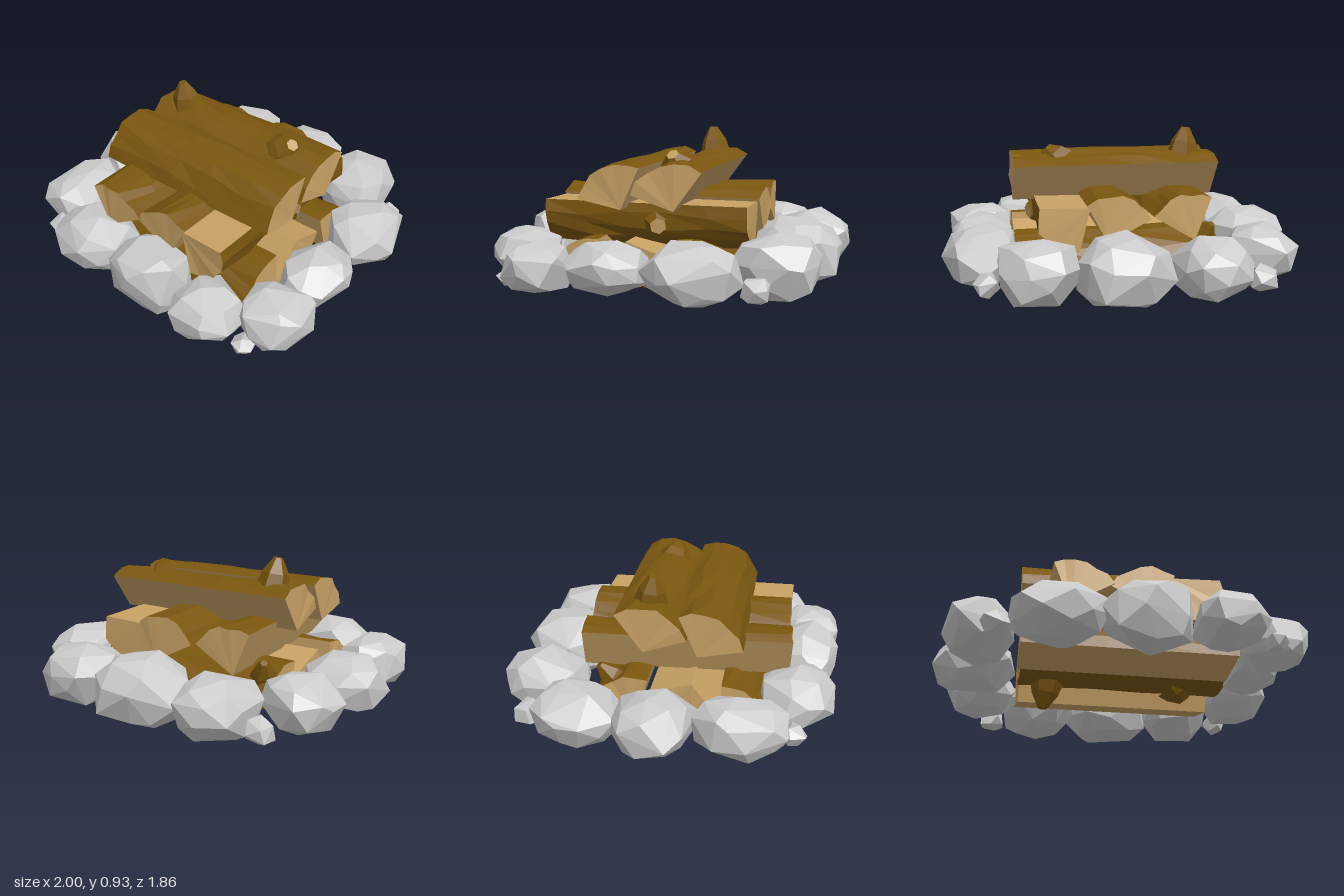
import * as THREE from 'three';
import { ConvexGeometry } from 'three/addons/geometries/ConvexGeometry.js';

const mat = (color) => new THREE.MeshStandardMaterial({ color, flatShading: true });
const bark = mat(0x7a560f), wood = mat(0xc8a265), rock = mat(0xcccccc);

function seeded(seed) {
  let s = seed * 7919 + 17;
  return () => (s = (s * 16807) % 2147483647) / 2147483647;
}

function mesh(name, geo, material) {
  const m = new THREE.Mesh(geo, material);
  m.name = name;
  return m;
}

function facets(tris) {
  const geo = new THREE.BufferGeometry().setFromPoints(tris);
  geo.computeVertexNormals();
  return geo;
}

// Split log: a wedge with two flat cut faces and a rounded bark side.
// apex and corners are [u, y]; u is x for logs along z, and z for logs along x.
function splitLog(name, axis, apex, cornerA, cornerB, from, to, seed, bulge = 0) {
  const rnd = seeded(seed), SIDES = 6, RINGS = 5;
  const flip = axis === 'x' ? -1 : 1;
  const P = ([u, y]) => new THREE.Vector2(u * flip, y);
  const o = P(apex);
  let a = P(cornerA).sub(o), b = P(cornerB).sub(o);
  if (a.cross(b) < 0) [a, b] = [b, a];
  const start = a.angle(), sweep = Math.acos(a.dot(b) / (a.length() * b.length()));

  const rings = [];
  for (let k = 0; k <= RINGS; k++) {
    const end = k === 0 || k === RINGS;
    const ring = [new THREE.Vector3(o.x, o.y, 0)];
    for (let i = 0; i <= SIDES; i++) {
      const t = i / SIDES, edge = i === 0 || i === SIDES;
      const ang = start + sweep * (t + (edge || end ? 0 : (rnd() - 0.5) * 0.09));
      const r = THREE.MathUtils.lerp(a.length(), b.length(), t) * (1 + bulge * Math.sin(Math.PI * t))
        * (1 + (rnd() - 0.55) * (edge ? 0.03 : 0.08));
      ring.push(new THREE.Vector3(o.x + r * Math.cos(ang), o.y + r * Math.sin(ang), 0));
    }
    for (const p of ring) p.z = from + (to - from) * (k / RINGS) + (rnd() - 0.5) * (end ? 0.012 : 0.08);
    rings.push(ring);
  }

  const barkTris = [], woodTris = [], n = SIDES + 2;
  for (let k = 0; k < RINGS; k++) {
    for (let i = 0; i < n; i++) {
      const j = (i + 1) % n, r0 = rings[k], r1 = rings[k + 1];
      const out = i === 0 || j === 0 ? woodTris : barkTris;
      out.push(r0[i], r0[j], r1[j], r0[i], r1[j], r1[i]);
    }
  }
  const first = rings[0], last = rings[RINGS];
  for (let i = 1; i < n - 1; i++) {
    woodTris.push(last[0], last[i], last[i + 1], first[0], first[i + 1], first[i]);
  }
  const log = new THREE.Group();
  log.name = name;
  log.add(mesh('bark', facets(barkTris), bark), mesh('cutWood', facets(woodTris), wood));
  if (axis === 'x') log.rotation.y = Math.PI / 2;
  return log;
}

// Branch stub: tapered, optionally sawn off to show pale wood.
function stub(name, from, to, r0, r1, sawn) {
  const a = new THREE.Vector3(...from), dir = new THREE.Vector3(...to).sub(a), h = dir.length();
  const g = new THREE.Group();
  g.name = name;
  const mid = r0 * 0.4 + r1 * 0.6 + 0.02;
  const lower = new THREE.CylinderGeometry(mid, r0, h / 2, 6, 1, true).translate(0, h / 4, 0);
  const upper = new THREE.CylinderGeometry(r1, mid, h / 2, 6, 1, true).translate(0, h * 0.75, 0);
  const cap = new THREE.CircleGeometry(r1, 6).rotateX(-Math.PI / 2).rotateY(Math.PI / 6).translate(0, h, 0);
  g.add(mesh('stubBase', lower, bark), mesh('stubTip', upper, bark), mesh('stubEnd', cap, sawn ? wood : bark));
  g.position.copy(a);
  g.quaternion.setFromUnitVectors(new THREE.Vector3(0, 1, 0), dir.normalize());
  return g;
}

// Stone: slightly boxy hull of scattered points, fitted to its extents.
function stone(name, [x0, x1], [y0, y1], [z0, z1], count, seed) {
  const rnd = seeded(seed), pts = [], turn = rnd() * 6;
  for (let i = 0; i < count; i++) {
    const y = 1 - (2 * (i + 0.5)) / count, ang = i * 2.39996 + turn + (rnd() - 0.5) * 0.8;
    const r = Math.sqrt(1 - y * y), s = 0.92 + rnd() * 0.16;
    pts.push(new THREE.Vector3(r * Math.cos(ang) * s, (y + (rnd() - 0.5) * 0.12) * s, r * Math.sin(ang) * s));
  }
  const tilt = new THREE.Euler(rnd() * 3, rnd() * 3, rnd() * 3);
  const square = (v) => Math.sign(v) * Math.abs(v) ** 0.87;
  for (const p of pts) {
    p.applyEuler(tilt);
    p.set(square(p.x), square(p.y), square(p.z));
  }
  const box = new THREE.Box3().setFromPoints(pts), size = box.getSize(new THREE.Vector3());
  const span = new THREE.Vector3(x1 - x0, y1 - y0, z1 - z0), low = new THREE.Vector3(x0, y0, z0);
  pts.forEach((p) => p.sub(box.min).divide(size).multiply(span).add(low));
  return mesh(name, new ConvexGeometry(pts), rock);
}

export function createModel() {
  const model = new THREE.Group();
  model.name = 'campfire';

  // Top layer: two logs across
  model.add(
    splitLog('topFrontLog', 'x', [0.17, 0.55], [0.41, 0.6], [0.07, 0.77], -0.54, 0.59, 1),
    splitLog('topBackLog', 'x', [-0.12, 0.555], [0.11, 0.63], [-0.27, 0.76], -0.53, 0.6, 2),
    stub('topSpike', [-0.37, 0.77, -0.1], [-0.39, 0.932, -0.08], 0.095, 0.025, false),
    stub('topKnot', [0.34, 0.75, -0.08], [0.41, 0.83, -0.06], 0.11, 0.035, true),
  );

  // Middle layer: three logs running front to back
  const middleRight = splitLog('middleRightLog', 'z', [-0.33, 0.37], [-0.1, 0.51], [-0.42, 0.6], -0.49, 0.64, 3);
  middleRight.rotation.y = 0.035;
  model.add(
    middleRight,
    splitLog('middleLog', 'z', [0.13, 0.38], [-0.1, 0.5], [0.24, 0.585], -0.5, 0.635, 4, 0.03),
    splitLog('middleLeftLog', 'z', [0.22, 0.57], [0.485, 0.575], [0.28, 0.33], -0.48, 0.64, 5, 0.14),
    stub('middleKnot', [0.4, 0.48, 0.03], [0.51, 0.46, -0.01], 0.09, 0.045, true),
  );

  // Bottom layer: the centre log lies bark down
  model.add(
    splitLog('bottomFrontLog', 'x', [0.29, 0.15], [0.57, 0.18], [0.3, 0.39], -0.54, 0.59, 6),
    splitLog('bottomCentreLog', 'x', [0.14, 0.385], [-0.09, 0.31], [0.29, 0.18], -0.53, 0.59, 7),
    splitLog('bottomBackLog', 'x', [-0.17, 0.14], [-0.42, 0.2], [-0.1, 0.38], -0.52, 0.6, 8),
    stub('bottomSpike', [-0.37, 0.17, 0.12], [-0.39, 0.006, 0.1], 0.095, 0.025, false),
    stub('bottomKnot', [0.34, 0.19, 0.1], [0.41, 0.11, 0.08], 0.11, 0.035, true),
    stub('backSpike', [-0.42, 0.3, -0.28], [-0.47, 0.43, -0.37], 0.085, 0.02, false),
  );

  // Ring of large stones: x, y and z extents
  const ring = [
    [[-0.6, -0.18], [0.12, 0.45], [-0.93, -0.45]],
    [[-0.18, 0.32], [0.1, 0.47], [-0.92, -0.46]],
    [[0.31, 0.71], [0.13, 0.46], [-0.86, -0.42]],
    [[0.59, 1.0], [0.13, 0.44], [-0.53, -0.02]],
    [[0.6, 0.94], [0.14, 0.42], [-0.04, 0.4]],
    [[0.58, 0.96], [0.13, 0.4], [0.37, 0.74]],
    [[0.3, 0.68], [0.13, 0.42], [0.57, 0.93]],
    [[-0.17, 0.31], [0.1, 0.47], [0.54, 0.92]],
    [[-0.62, -0.13], [0.13, 0.44], [0.49, 0.9]],
    [[-0.94, -0.57], [0.13, 0.43], [0.17, 0.66]],
    [[-1.0, -0.54], [0.14, 0.44], [-0.24, 0.2]],
    [[-0.94, -0.52], [0.13, 0.44], [-0.67, -0.21]],
  ];
  ring.forEach(([x, y, z], i) => model.add(stone('ringStone' + (i + 1), x, y, z, 28, i + 21)));

  // Pebbles in the corner gaps
  const pebbles = [
    [[-0.72, -0.58], [0.14, 0.29], [-0.8, -0.64]],
    [[0.7, 0.84], [0.15, 0.28], [-0.65, -0.51]],
    [[0.65, 0.78], [0.14, 0.23], [0.69, 0.82]],
    [[-0.75, -0.6], [0.16, 0.27], [0.63, 0.76]],
  ];
  pebbles.forEach(([x, y, z], i) => model.add(stone('pebble' + (i + 1), x, y, z, 12, i + 51)));

  return model;
}
